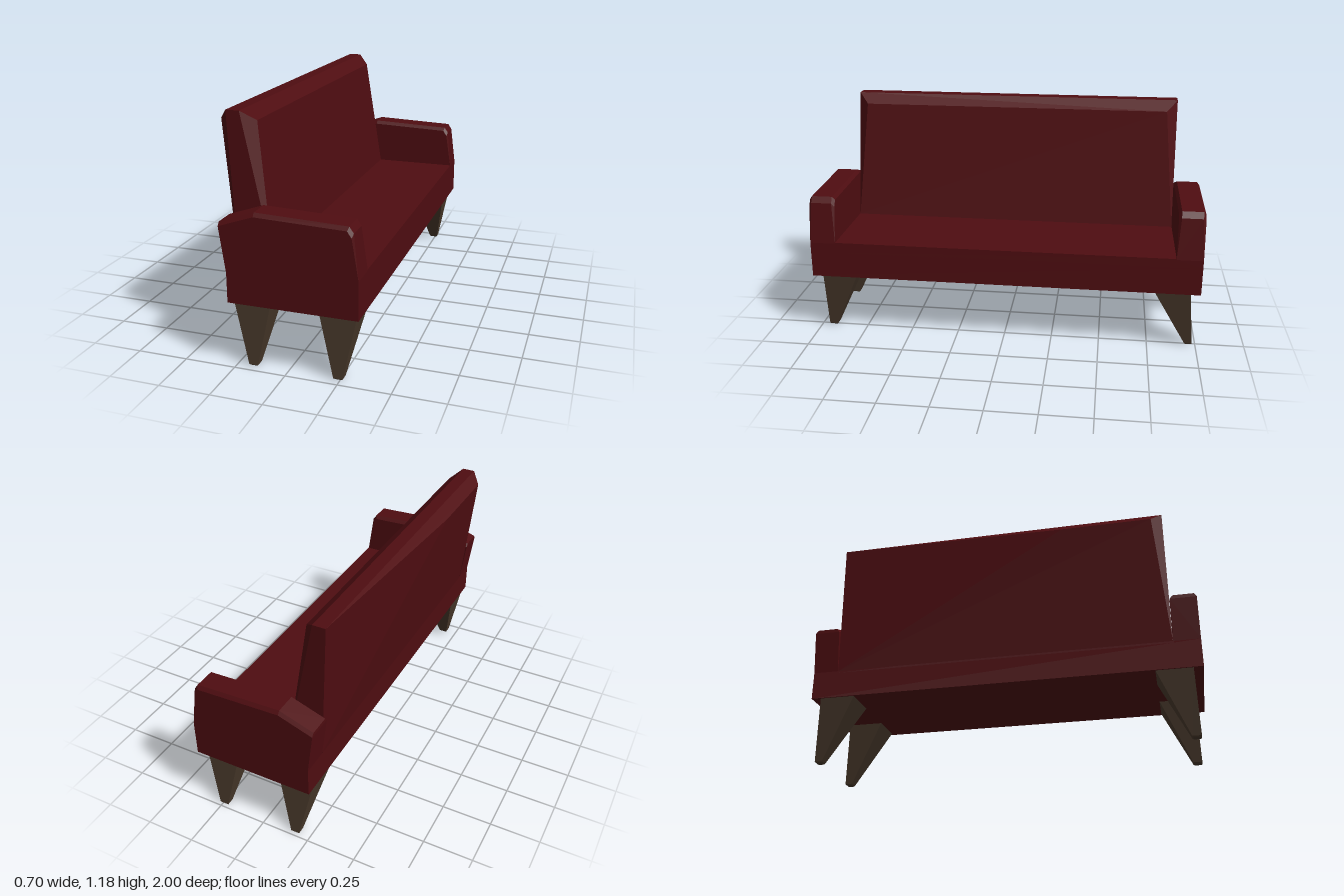
import * as THREE from 'three';
import { ConvexGeometry } from 'three/addons/geometries/ConvexGeometry.js';

const fabric = new THREE.MeshStandardMaterial({ color: 0x4f0d11, flatShading: true });
const wood = new THREE.MeshStandardMaterial({ color: 0x4a3a2c, flatShading: true });

function add(group, name, geometry, material) {
  const mesh = new THREE.Mesh(geometry, material);
  mesh.name = name;
  group.add(mesh);
  return mesh;
}

// Faceted solid wrapped around a few corner points
const hull = (points) => new ConvexGeometry(points.map((p) => new THREE.Vector3(...p)));

// Box given by its extents
function block(x0, x1, y0, y1, z0, z1) {
  return new THREE.BoxGeometry(x1 - x0, y1 - y0, z1 - z0)
    .translate((x0 + x1) / 2, (y0 + y1) / 2, (z0 + z1) / 2);
}

// Arm: side profile with its upper edge bevelled on both sides
function armGeometry(side) {
  const lower = [[-0.27, 0.47], [0.35, 0.47], [0.35, 0.51]];
  const upper = [[0.325, 0.72], [0.305, 0.75], [-0.13, 0.765], [-0.3, 0.705]];
  const points = [];
  for (const z of [0.868, 1]) {
    for (const [x, y] of lower) points.push([x, y, z * side]);
    for (const [x, y] of upper) points.push([x - (x > 0 ? 0.006 : 0), y - 0.018, z * side]);
  }
  for (const z of [0.882, 0.987]) {
    for (const [x, y] of upper) points.push([x, y, z * side]);
  }
  return hull(points);
}

// Leg: four-sided taper from a wide top to a small splayed foot
function legGeometry(topX, footX, topZ, footZ) {
  const points = [];
  for (const i of [0, 1]) {
    for (const j of [0, 1]) {
      points.push([topX[i], 0.326, topZ[j]], [footX[i], 0.006, footZ[j]]);
      points.push([footX[i] + (i ? -0.006 : 0.006), 0, footZ[j] + (j ? -0.006 : 0.006)]);
    }
  }
  return hull(points);
}

export function createModel() {
  const sofa = new THREE.Group();
  sofa.name = 'sofa';

  add(sofa, 'base', block(-0.27, 0.35, 0.325, 0.47, -1, 1), fabric);
  add(sofa, 'seat', block(-0.27, 0.35, 0.46, 0.515, -0.87, 0.87), fabric);

  // Backrest: bevelled front, rear skewed out towards one end
  const back = [[-0.355, 1.13, 0.35], [-0.355, 1.13, 0.81]];
  for (const s of [-1, 1]) {
    back.push([-0.27, 0.47, 0.866 * s], [-0.095, 0.47, 0.866 * s], [-0.1, 0.515, 0.866 * s]);
    back.push([-0.305, 1.18, 0.866 * s], [-0.24, 1.18, 0.866 * s], [-0.18, 1.13, 0.81 * s]);
  }
  add(sofa, 'backrest', hull(back), fabric);

  // Arms and legs at both ends
  for (const s of [-1, 1]) {
    const end = s > 0 ? 'left' : 'right';
    add(sofa, end + 'Arm', armGeometry(s), fabric);
    const topZ = s > 0 ? [0.77, 0.952] : [-0.952, -0.77];
    const footZ = s > 0 ? [0.915, 0.96] : [-0.983, -0.945];
    add(sofa, end + 'FrontLeg', legGeometry([0.148, 0.33], [0.218, 0.263], topZ, footZ), wood);
    add(sofa, end + 'BackLeg', legGeometry([-0.263, -0.08], [-0.194, -0.15], topZ, footZ), wood);
  }
  return sofa;
}
